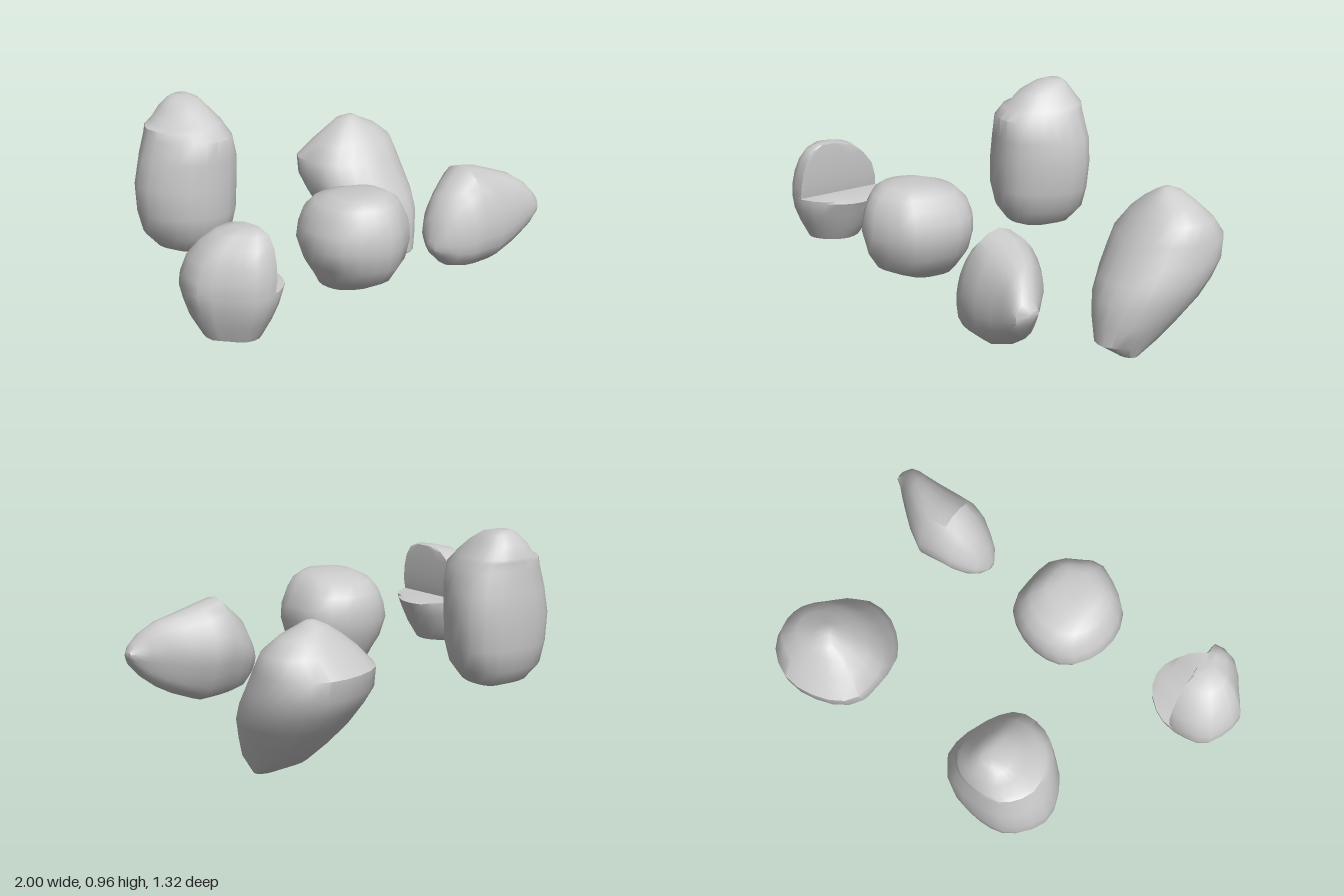
import * as THREE from 'three';
import { toCreasedNormals } from 'three/addons/utils/BufferGeometryUtils.js';

const SIDES = 22;
const material = new THREE.MeshStandardMaterial({ color: 0xcccccc });

// Smooth closed outline, rescaled to the square -1..1
function unitOutline(points) {
  const curve = new THREE.CatmullRomCurve3(points.map(([u, v]) => new THREE.Vector3(u, v, 0)), true);
  const pts = curve.getSpacedPoints(SIDES).slice(0, SIDES);
  const box = new THREE.Box3().setFromPoints(pts);
  const mid = box.getCenter(new THREE.Vector3());
  const size = box.getSize(new THREE.Vector3());
  return pts.map(p => [2 * (p.x - mid.x) / size.x, 2 * (p.y - mid.y) / size.y]);
}

// Each ring is [height, u0, u1, v0, v1, optional cut limit for u].
// The outline is stretched to every ring; place() turns (h, u, v) into x, y, z.
function rock(name, rings, outline, place, crease = 0.75) {
  const unit = unitOutline(outline);
  const positions = [], index = [];
  for (const [h, u0, u1, v0, v1, cut = Infinity] of rings) {
    for (const [a, b] of unit) {
      const u = (u0 + u1) / 2 + a * (u1 - u0) / 2;
      const v = (v0 + v1) / 2 + b * (v1 - v0) / 2;
      positions.push(...place(h, Math.min(u, cut), v));
    }
  }
  const last = rings.length - 1;
  for (let i = 0; i < last; i++) {
    for (let j = 0; j < SIDES; j++) {
      const k = (j + 1) % SIDES;
      const a = i * SIDES + j, b = i * SIDES + k, c = a + SIDES, d = b + SIDES;
      index.push(a, c, b, b, c, d);
    }
  }
  // Close both ends with a fan
  for (const i of [0, last]) {
    const [h, u0, u1, v0, v1, cut = Infinity] = rings[i];
    const centre = positions.length / 3;
    positions.push(...place(h, (u0 + Math.min(u1, cut)) / 2, (v0 + v1) / 2));
    for (let j = 0; j < SIDES; j++) {
      const a = i * SIDES + j, b = i * SIDES + (j + 1) % SIDES;
      if (i === 0) index.push(centre, a, b);
      else index.push(centre, b, a);
    }
  }
  const geometry = new THREE.BufferGeometry();
  geometry.setAttribute('position', new THREE.Float32BufferAttribute(positions, 3));
  geometry.setIndex(index);
  const mesh = new THREE.Mesh(toCreasedNormals(geometry, crease), material);
  mesh.name = name;
  return mesh;
}

const upright = (h, u, v) => [u, h, v];
const sideways = (h, u, v) => [h, u, v];

export function createModel() {
  const group = new THREE.Group();
  group.name = 'rocks';

  // Small rock with a wedge cut out of its upper half
  group.add(rock('notchedRock', [
    [0.21, -0.88, -0.74, 0.33, 0.5],
    [0.225, -0.925, -0.68, 0.29, 0.54],
    [0.3, -0.965, -0.63, 0.24, 0.58],
    [0.37, -0.985, -0.6, 0.21, 0.61],
    [0.43, -1, -0.57, 0.195, 0.62],
    [0.44, -1, -0.57, 0.195, 0.62, -0.62],
    [0.44, -1, -0.57, 0.195, 0.62, -0.755],
    [0.49, -0.995, -0.57, 0.2, 0.62, -0.745],
    [0.56, -0.97, -0.58, 0.22, 0.61, -0.74],
    [0.62, -0.93, -0.61, 0.27, 0.59, -0.735],
    [0.67, -0.875, -0.65, 0.33, 0.56, -0.735],
    [0.69, -0.8, -0.72, 0.4, 0.52, -0.735],
  ], [[-1, 0.41], [-0.98, 0.3], [-0.93, 0.22], [-0.83, 0.195], [-0.72, 0.2], [-0.61, 0.28],
    [-0.57, 0.4], [-0.62, 0.52], [-0.71, 0.6], [-0.78, 0.62], [-0.86, 0.6], [-0.95, 0.48]], upright, 0.7));

  // Tall rock with a small ledge near the top
  group.add(rock('tallRock', [
    [0.25, -0.38, -0.23, -0.5, -0.36],
    [0.28, -0.45, -0.15, -0.58, -0.29],
    [0.35, -0.515, -0.09, -0.635, -0.24],
    [0.45, -0.545, -0.06, -0.65, -0.22],
    [0.58, -0.55, -0.05, -0.66, -0.22],
    [0.7, -0.525, -0.055, -0.655, -0.22],
    [0.8, -0.495, -0.09, -0.64, -0.225],
    [0.84, -0.48, -0.11, -0.637, -0.265],
    [0.855, -0.44, -0.12, -0.635, -0.28],
    [0.91, -0.4, -0.17, -0.6, -0.34],
    [0.95, -0.35, -0.2, -0.57, -0.41],
    [0.965, -0.31, -0.23, -0.55, -0.47],
  ], [[-0.55, -0.5], [-0.52, -0.56], [-0.43, -0.64], [-0.31, -0.66], [-0.14, -0.63], [-0.06, -0.56],
    [-0.05, -0.49], [-0.09, -0.36], [-0.21, -0.23], [-0.4, -0.24], [-0.5, -0.32], [-0.55, -0.43]], upright));

  // Rounded rock in the middle
  group.add(rock('roundRock', [
    [0.22, -0.13, -0.03, 0.3, 0.42],
    [0.24, -0.2, 0.03, 0.24, 0.49],
    [0.29, -0.24, 0.09, 0.215, 0.59],
    [0.36, -0.285, 0.14, 0.175, 0.635],
    [0.45, -0.32, 0.165, 0.155, 0.655],
    [0.52, -0.305, 0.16, 0.157, 0.65],
    [0.58, -0.28, 0.13, 0.175, 0.635],
    [0.63, -0.25, 0.1, 0.225, 0.605],
    [0.66, -0.2, 0.05, 0.32, 0.56],
    [0.67, -0.13, 0, 0.4, 0.52],
  ], [[-0.32, 0.39], [-0.29, 0.27], [-0.23, 0.19], [-0.14, 0.15], [0.02, 0.16], [0.11, 0.21], [0.16, 0.27],
    [0.165, 0.37], [0.13, 0.54], [0.02, 0.61], [-0.08, 0.65], [-0.2, 0.6], [-0.29, 0.52]], upright));

  // Pointed rock, built from sections along x
  group.add(rock('pointedRock', [
    [0.4, 0.27, 0.32, 0.42, 0.47],
    [0.43, 0.235, 0.43, 0.36, 0.52],
    [0.48, 0.19, 0.525, 0.325, 0.56],
    [0.54, 0.175, 0.585, 0.3, 0.6],
    [0.6, 0.17, 0.64, 0.288, 0.615],
    [0.7, 0.17, 0.62, 0.28, 0.62],
    [0.8, 0.21, 0.585, 0.345, 0.615],
    [0.87, 0.25, 0.56, 0.405, 0.612],
    [0.93, 0.3, 0.515, 0.46, 0.615],
    [0.97, 0.35, 0.465, 0.5, 0.61],
    [1, 0.4, 0.43, 0.52, 0.57],
  ], [[0.33, 0.62], [0.42, 0.615], [0.53, 0.58], [0.6, 0.53], [0.64, 0.45], [0.63, 0.38], [0.57, 0.33],
    [0.47, 0.29], [0.42, 0.285], [0.28, 0.33], [0.2, 0.38], [0.17, 0.46], [0.18, 0.53], [0.24, 0.6]], sideways));

  // Long rock leaning backwards
  group.add(rock('leaningRock', [
    [0, 0.7, 0.83, -0.17, -0.09],
    [0.06, 0.61, 0.86, -0.3, 0],
    [0.15, 0.55, 0.905, -0.4, -0.005],
    [0.25, 0.5, 0.95, -0.5, -0.02],
    [0.33, 0.475, 0.97, -0.56, -0.06],
    [0.41, 0.46, 0.975, -0.61, -0.11],
    [0.5, 0.465, 0.965, -0.62, -0.16],
    [0.58, 0.53, 0.945, -0.55, -0.22],
    [0.64, 0.6, 0.87, -0.49, -0.28],
    [0.68, 0.66, 0.78, -0.45, -0.33],
    [0.7, 0.7, 0.74, -0.4, -0.36],
  ], [[0.46, -0.38], [0.48, -0.5], [0.6, -0.6], [0.8, -0.62], [0.95, -0.48], [0.97, -0.25],
    [0.9, -0.08], [0.78, 0], [0.62, -0.03], [0.47, -0.2]], upright));

  return group;
}
